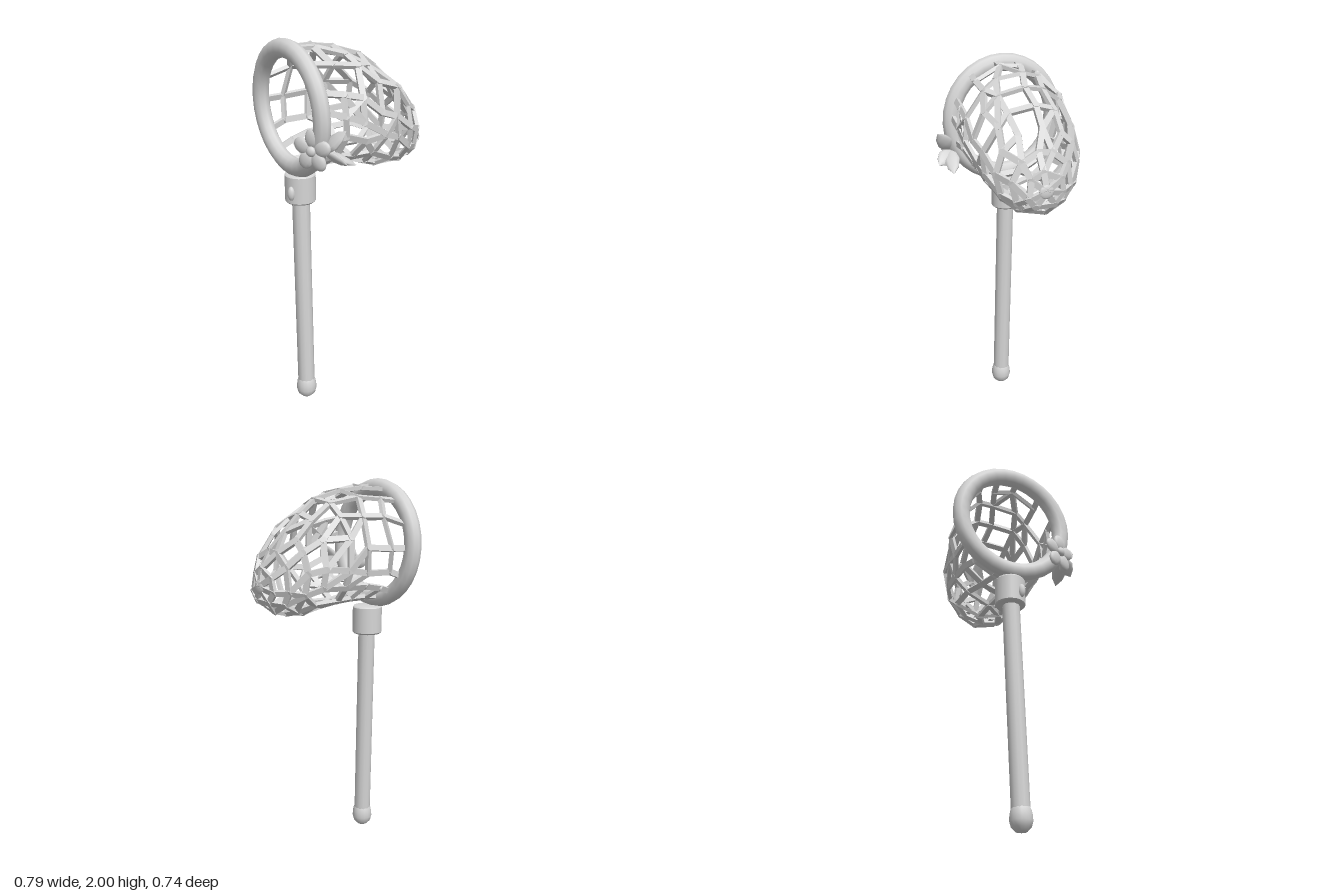
import * as THREE from 'three';
import { mergeGeometries } from 'three/addons/utils/BufferGeometryUtils.js';

const V = (x, y, z) => new THREE.Vector3(x, y, z);
const grey = new THREE.MeshStandardMaterial({ color: 0xd6d6d6 });
grey.name = 'plain grey';

// small seeded generator for the irregular mesh of the bag
function seeded(seed) {
  return () => {
    seed = (seed * 16807) % 2147483647;
    return seed / 2147483647;
  };
}

// Moves a unit-high geometry (y from 0 to 1) to span a -> b, its flat side facing out
function span(geometry, a, b, out) {
  const dir = b.clone().sub(a);
  const up = dir.clone().normalize();
  const side = up.clone().cross(out).normalize();
  const face = side.clone().cross(up);
  return geometry.applyMatrix4(new THREE.Matrix4().makeBasis(side, dir, face).setPosition(a));
}

function add(parent, name, geometry, position) {
  const mesh = new THREE.Mesh(geometry, grey);
  mesh.name = name;
  if (position) mesh.position.copy(position);
  parent.add(mesh);
  return mesh;
}

// Bag cross-sections: x, bottom y, top y, back z, front z, number of knots
const SECTIONS = [
  [-0.30, 1.37, 1.96, -0.30, 0.265, 14],
  [-0.20, 1.375, 1.96, -0.295, 0.27, 14],
  [-0.08, 1.37, 1.943, -0.283, 0.276, 14],
  [0.04, 1.347, 1.90, -0.262, 0.272, 14],
  [0.15, 1.326, 1.832, -0.235, 0.262, 13],
  [0.24, 1.328, 1.745, -0.19, 0.238, 12],
  [0.31, 1.346, 1.65, -0.125, 0.19, 10],
  [0.36, 1.387, 1.565, -0.06, 0.13, 7],
];

function bagGeometry() {
  const rand = seeded(4242);
  const core = V(0, 1.58, 0);
  const pieces = [];
  // flat slats joined by flat knots
  const strut = (a, b) => {
    const g = new THREE.BoxGeometry(0.03, 1, 0.019).translate(0, 0.5, 0);
    pieces.push(span(g, a, b, a.clone().add(b).multiplyScalar(0.5).sub(core)));
  };
  const knot = (p) => {
    const half = p.clone().sub(core).setLength(0.0095);
    const g = new THREE.CylinderGeometry(0.017, 0.017, 1, 8).translate(0, 0.5, 0);
    pieces.push(span(g, p.clone().sub(half), p.clone().add(half), V(0.31, 0.17, 0.93)));
  };
  // knots round each section
  const rings = SECTIONS.map(([x, y0, y1, z0, z1, n], i) => {
    const offset = rand();
    return Array.from({ length: n }, (_, k) => {
      const t = ((k + offset + (rand() - 0.5) * 0.45) / n) * Math.PI * 2;
      const dx = i === 0 ? 0 : (rand() - 0.5) * (i < 5 ? 0.06 : 0.014);
      const p = V(x + dx, (y0 + y1) / 2 + Math.sin(t) * (y1 - y0) / 2,
        (z0 + z1) / 2 + Math.cos(t) * (z1 - z0) / 2);
      knot(p);
      return { p, t };
    });
  });
  const gap = (a, b) => 1 - Math.cos(a.t - b.t);
  const byGap = (a, ring) => ring.map((_, k) => k).sort((k, m) => gap(a, ring[k]) - gap(a, ring[m]));
  rings.forEach((ring, i) => {
    // cords round the bag, with some missing for larger openings
    ring.forEach((a, k) => {
      if (i > 0 && (i > 5 || rand() > 0.12)) strut(a.p, ring[(k + 1) % ring.length].p);
    });
    // cords along the bag: each knot is tied to its nearest neighbour, some to a second one
    const next = rings[i + 1];
    if (!next) return;
    const pairs = new Set();
    ring.forEach((a, k) => {
      const [first, second] = byGap(a, next);
      pairs.add(k + ',' + first);
      if (i > 0 && i < 6 && rand() < 0.22) pairs.add(k + ',' + second);
    });
    next.forEach((b, k) => pairs.add(byGap(b, ring)[0] + ',' + k));
    pairs.forEach((key) => {
      const [k, m] = key.split(',').map(Number);
      strut(ring[k].p, next[m].p);
    });
  });
  // gathered end
  const tip = V(0.379, 1.475, 0.04);
  rings.at(-1).forEach(({ p }) => strut(p, tip));
  pieces.push(new THREE.SphereGeometry(1, 12, 8).scale(0.011, 0.036, 0.04).translate(tip.x, tip.y, tip.z));
  return mergeGeometries(pieces);
}

export function createModel() {
  const model = new THREE.Group();
  model.name = 'handNet';

  // slightly leaning pole with a rounded knob
  const foot = V(-0.285, 0.06, 0.015), top = V(-0.272, 1.22, -0.02);
  const pole = new THREE.CylinderGeometry(0.046, 0.046, 1, 12).translate(0, 0.5, 0);
  add(model, 'pole', span(pole, foot, top, V(0, 0, 1)));
  const knob = [[0, 0], [0.028, 0.006], [0.048, 0.026], [0.056, 0.055], [0.054, 0.085], [0.049, 0.108], [0.043, 0.12]];
  add(model, 'poleKnob', new THREE.LatheGeometry(knob.map(([r, y]) => new THREE.Vector2(r, y)), 16),
    V(foot.x, 0, foot.z));

  // collar with a small catch
  const collar = [[0, 0], [0.072, 0], [0.08, 0.008], [0.08, 0.008], [0.08, 0.145], [0.08, 0.145], [0.072, 0.155], [0, 0.155]];
  add(model, 'collar', new THREE.LatheGeometry(collar.map(([r, y]) => new THREE.Vector2(r, y)), 20),
    V(-0.272, 1.172, -0.023));
  add(model, 'collarCatch', new THREE.SphereGeometry(1, 10, 8).scale(0.02, 0.038, 0.02), V(-0.345, 1.236, 0.01));

  // hoop
  const hoopShape = new THREE.TorusGeometry(0.294, 0.047, 10, 32).scale(1, 1, 0.9).rotateY(Math.PI / 2);
  const hoop = add(model, 'hoop', hoopShape, V(-0.318, 1.66, -0.029));
  hoop.rotation.z = 0.03;

  add(model, 'netBag', bagGeometry());

  // flower on the hoop
  const flower = new THREE.Group();
  flower.name = 'flower';
  flower.position.set(-0.354, 1.52, 0.235);
  flower.quaternion.setFromUnitVectors(V(0, 0, 1), V(-0.92, 0, 0.39).normalize());
  model.add(flower);
  add(flower, 'flowerCentre', new THREE.SphereGeometry(0.026, 12, 8).scale(1, 1, 0.7), V(0, 0, 0.012));
  for (let i = 0; i < 5; i++) {
    const petal = add(flower, 'petal', new THREE.SphereGeometry(1, 12, 8).scale(0.04, 0.047, 0.018).translate(0, 0.06, 0));
    petal.rotation.z = (i / 5) * Math.PI * 2;
  }

  // pointed leaves behind the flower
  const leafProfile = [[0, 0], [0.03, 0.2], [0.042, 0.45], [0.03, 0.75], [0, 1]].map(([r, y]) => new THREE.Vector2(r, y));
  const root = V(-0.315, 1.52, 0.275);
  [V(-0.25, 1.63, 0.365), V(-0.155, 1.435, 0.313), V(-0.24, 1.46, 0.365)].forEach((tip) => {
    const leaf = new THREE.LatheGeometry(leafProfile, 10).scale(1, 1, 0.4);
    add(model, 'leaf', span(leaf, root, tip, V(1, 0.2, 0.4)));
  });
  return model;
}
